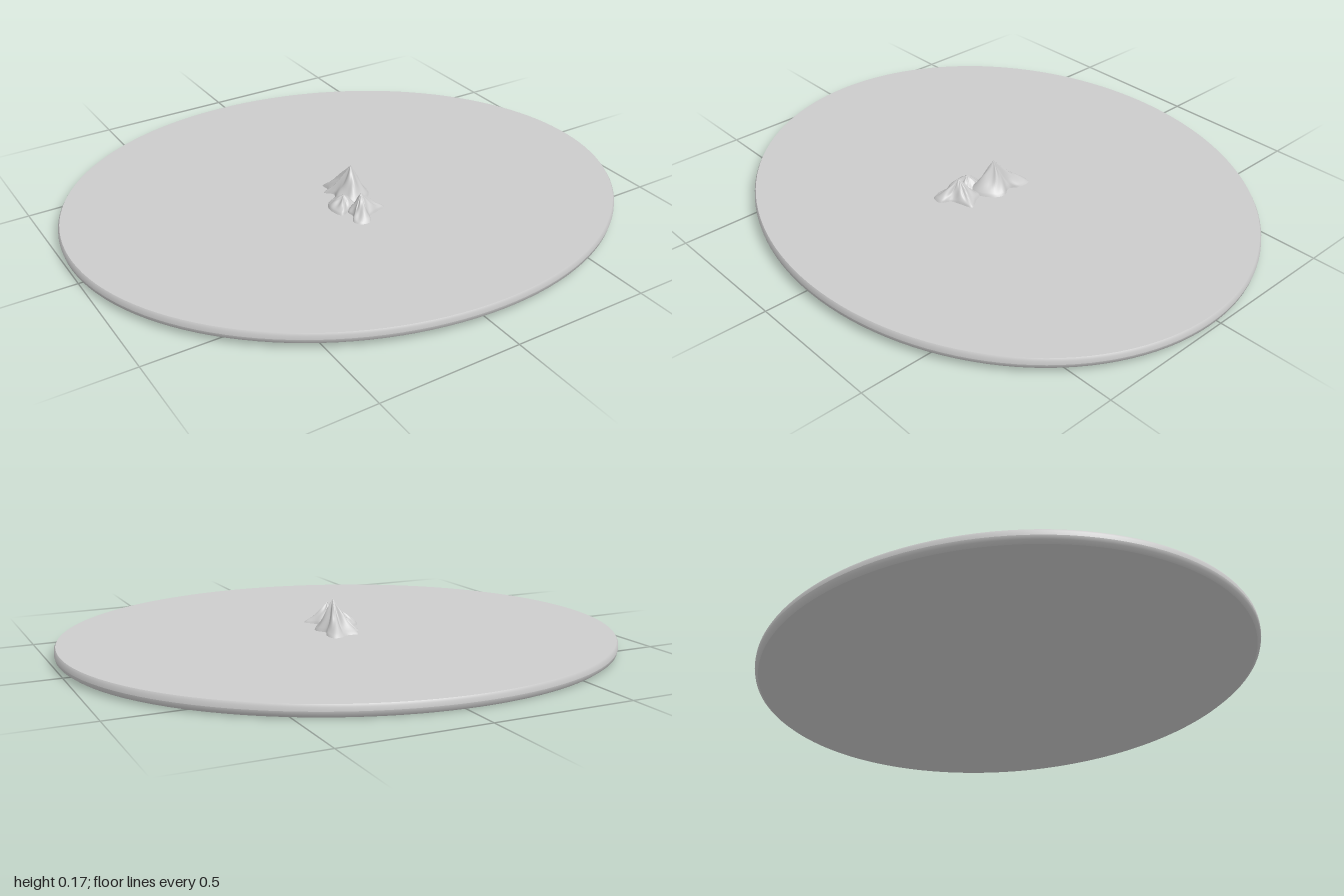
import * as THREE from 'three';

const TILT = 0.011;   // the plate rises slightly towards the front
const TOP = 0.053;    // plate surface height at the centre

const material = () => new THREE.MeshStandardMaterial({ color: 0xcccccc, roughness: 0.9 });

// Elliptical plate: a shallow turned disc, sheared and tilted
function plate() {
  const bottom = 0.0105, mid = (TOP + bottom) / 2;
  const profiles = {
    plateBottom: [[0, bottom], [0.985, bottom]],
    plateRimLower: [[0.985, bottom], [0.997, 0.019], [1, mid]],
    plateRimUpper: [[1, mid], [0.999, 0.045], [0.994, TOP]],
    plateTop: [[0.994, TOP], [0, TOP]],
  };
  const shear = new THREE.Matrix4().set(
    1, 0, 0, 0,
    TILT * 0.056, 1, TILT * 0.864, 0,
    0.056, 0, 0.864, 0,
    0, 0, 0, 1);
  const group = new THREE.Group();
  group.name = 'plate';
  for (const [name, pts] of Object.entries(profiles)) {
    const geo = new THREE.LatheGeometry(pts.map(p => new THREE.Vector2(...p)), 128);
    geo.applyMatrix4(shear);
    const mesh = new THREE.Mesh(geo, material());
    mesh.name = name;
    group.add(mesh);
  }
  return group;
}

// Craggy peak: rings shrink from an irregular foot outline up to the summit
function mountain(name, summit, outline, power, seed) {
  const [px, py, pz] = summit;
  const foot = new THREE.CatmullRomCurve3(
    outline.map(([x, z]) => new THREE.Vector3(x, 0, z)), true, 'centripetal');
  const around = 72, rings = 18, pos = [], index = [];
  for (let i = 0; i <= rings; i++) {
    const s = i / rings;
    for (let j = 0; j < around; j++) {
      const p = foot.getPoint(j / around);
      const a = (j / around) * Math.PI * 2;
      // Spurs and gullies fade out at the summit and the foot
      const fade = Math.sin(Math.PI * s);
      const rough = fade * (0.007 * Math.sin(5 * a + seed + 2 * s)
        + 0.004 * Math.sin(9 * a + seed * 2 - 5 * s));
      // Rounded footprint near the summit, full outline at the foot
      const dx = p.x - px, dz = p.z - pz, r = Math.hypot(dx, dz);
      const even = THREE.MathUtils.lerp(0.075, r, Math.min(1, 0.4 + 0.6 * s)) / r;
      const k = s * Math.min(1, even);
      const x = px + dx * k, z = pz + dz * k;
      const base = TOP + TILT * z - 0.002;
      const lip = 0.012 * Math.sqrt(Math.max(0, 1 - s ** 6)) * s;
      const h = (py - base) * Math.pow(1 - s, power) + lip + rough * (py - base) / 0.11;
      pos.push(x, base + Math.max(0, h), z);
    }
  }
  for (let i = 0; i < rings; i++) {
    for (let j = 0; j < around; j++) {
      const n = (j + 1) % around;
      const a = i * around + j, b = i * around + n;
      const c = a + around, d = b + around;
      if (i > 0) index.push(a, b, c);
      index.push(b, d, c);
    }
  }
  const geo = new THREE.BufferGeometry();
  geo.setAttribute('position', new THREE.Float32BufferAttribute(pos, 3));
  geo.setIndex(index);
  geo.computeVertexNormals();
  const mesh = new THREE.Mesh(geo, material());
  mesh.material.side = THREE.DoubleSide;
  mesh.name = name;
  return mesh;
}

export function createModel() {
  const model = new THREE.Group();
  model.name = 'mountainIsland';
  model.add(plate());

  // Tall rear peak
  model.add(mountain('mainPeak', [0.01, 0.168, 0.045], [
    [0.065, -0.08], [0.07, -0.03], [0.052, 0.01], [0.075, 0.05], [0.06, 0.09], [0.0, 0.125],
    [-0.045, 0.115], [-0.06, 0.06], [-0.045, 0.02], [-0.07, -0.01], [-0.045, -0.025],
    [-0.045, -0.06], [0.0, -0.06], [0.03, -0.08]], 1.35, 1));

  // Lower front peak
  model.add(mountain('frontPeak', [-0.03, 0.13, 0.175], [
    [0.06, 0.19], [0.02, 0.205], [-0.02, 0.22], [-0.04, 0.255], [-0.08, 0.25], [-0.09, 0.22],
    [-0.07, 0.19], [-0.07, 0.155], [-0.035, 0.13], [0.01, 0.11], [0.035, 0.15]], 1.35, 3));

  // Small side hill between them
  model.add(mountain('sideHill', [-0.06, 0.1, 0.11], [
    [-0.115, 0.11], [-0.1, 0.07], [-0.06, 0.055], [-0.02, 0.08],
    [-0.02, 0.13], [-0.06, 0.15], [-0.1, 0.165]], 1.1, 5));

  return model;
}
